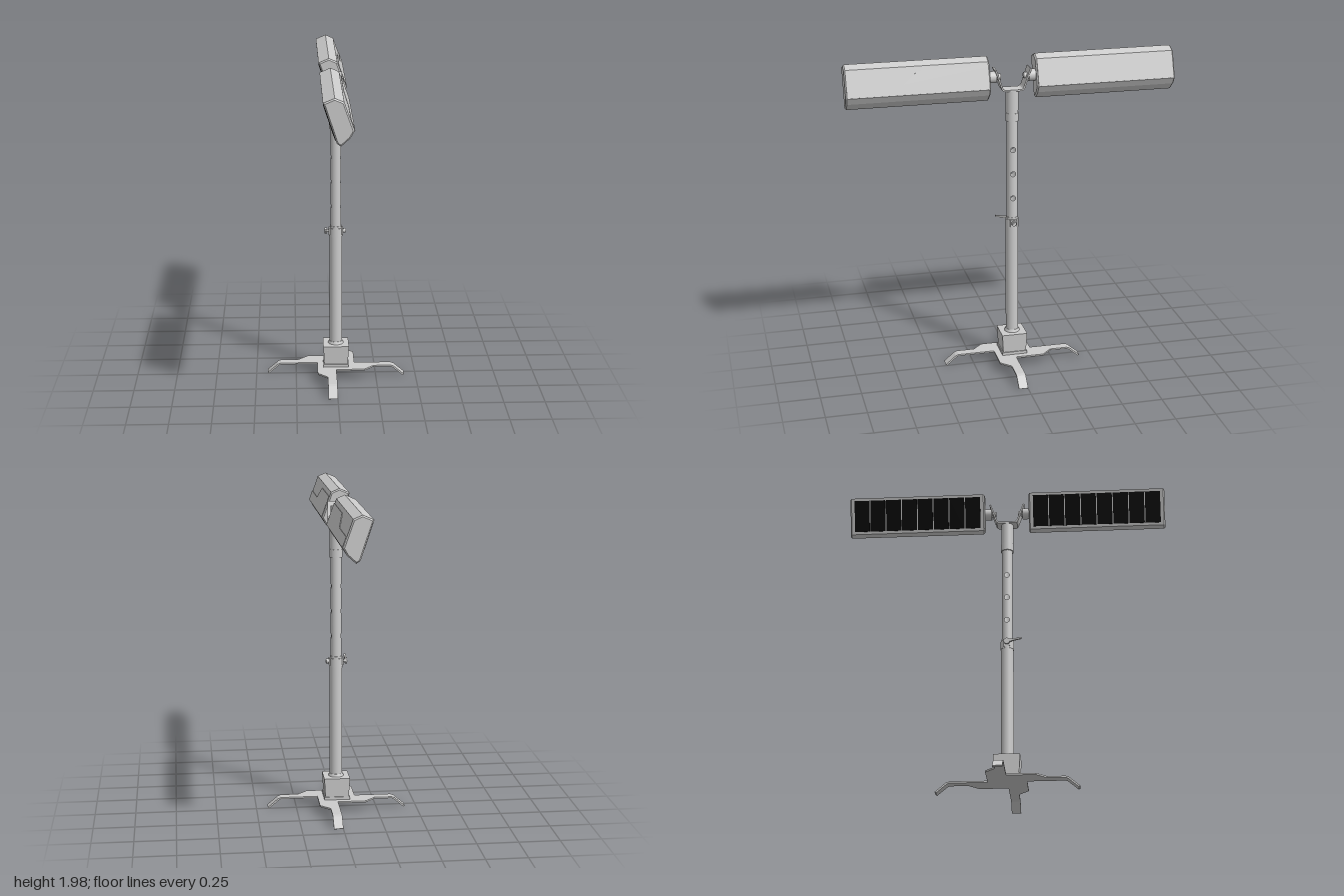
import * as THREE from 'three';
import { mergeGeometries } from 'three/addons/utils/BufferGeometryUtils.js';

const grey = new THREE.MeshStandardMaterial({ color: 0xcccccc });
const greyThin = new THREE.MeshStandardMaterial({ color: 0xcccccc, side: THREE.DoubleSide });
const black = new THREE.MeshStandardMaterial({ color: 0x080808 });

const shapeOf = (pts) => new THREE.Shape(pts.map(([x, y]) => new THREE.Vector2(x, y)));
const extrude = (pts, depth, opts = {}) =>
  new THREE.ExtrudeGeometry(shapeOf(pts), { depth, bevelEnabled: false, ...opts });

function add(parent, name, geometry, material = grey, x = 0, y = 0, z = 0) {
  const mesh = new THREE.Mesh(geometry, material);
  mesh.name = name;
  mesh.position.set(x, y, z);
  parent.add(mesh);
  return mesh;
}

// Upright cylinder between two heights
const post = (parent, name, r0, r1, y0, y1) =>
  add(parent, name, new THREE.CylinderGeometry(r1, r0, y1 - y0, 40), grey, 0, (y0 + y1) / 2, 0);

// Curved square patch of tube wall, facing +x, with a round hole in it
function holePatch(r, holeR, halfH, y) {
  const g = new THREE.PlaneGeometry(1, 1, 48, 4);
  const pos = g.attributes.position, nor = g.attributes.normal;
  for (let i = 0; i < pos.count; i++) {
    const t = (pos.getX(i) + 0.5) * Math.PI * 2, k = pos.getY(i) + 0.5;
    const c = Math.cos(t), s = Math.sin(t), m = Math.max(Math.abs(c), Math.abs(s));
    const a = THREE.MathUtils.lerp(Math.asin(holeR * c / r), Math.PI / 4 * c / m, k);
    const h = THREE.MathUtils.lerp(holeR * s, halfH * s / m, k);
    pos.setXYZ(i, r * Math.cos(a), y + h, -r * Math.sin(a));
    nor.setXYZ(i, Math.cos(a), 0, -Math.sin(a));
  }
  return g;
}

// Upper tube with three adjusting holes drilled through along x
function drilledTube(r, y0, y1) {
  const half = 0.0775, first = 1.1, parts = [];
  const wall = (a, b, start, length) => parts.push(
    new THREE.CylinderGeometry(r, r, b - a, 16, 1, true, start, length).translate(0, (a + b) / 2, 0));
  for (const turn of [0, Math.PI]) {
    const q = Math.PI / 2;
    wall(y0, y1, turn - q / 2, q);
    wall(y0, first - half, turn + q / 2, q);
    wall(first + half * 5, y1, turn + q / 2, q);
    for (let i = 0; i < 3; i++) {
      parts.push(holePatch(r, 0.016, half, first + i * half * 2).rotateY(turn));
    }
  }
  return mergeGeometries(parts);
}

// Flat leg: stepped plate that narrows, then bends down to the ground
function leg() {
  const plate = extrude([[0, 0], [0.345, 0], [0.345, -0.057], [0.235, -0.057], [0.175, -0.117], [0, -0.117]], 0.01)
    .rotateX(-Math.PI / 2).translate(0, 0.058, 0);
  const foot = extrude([[0.345, 0.058], [0.357, 0.053], [0.42, 0], [0.429, 0.006], [0.364, 0.061], [0.345, 0.068]], 0.057);
  return mergeGeometries([plate, foot]);
}

// Long lamp head lying along +z, solar cells on its -x face
function lampHead() {
  const head = new THREE.Group();
  const z0 = 0.14, z1 = 1.0, length = z1 - z0;
  const section = [[-0.1, 1.957], [-0.026, 1.735], [-0.003, 1.72], [0.047, 1.765],
    [0.07, 1.805], [0.014, 1.962], [-0.037, 1.984]];
  add(head, 'headCasing', extrude(section, length - 0.016, {
    bevelEnabled: true, bevelSize: 0.008, bevelThickness: 0.008, bevelOffset: -0.008, bevelSegments: 1,
  }), grey, 0, 0, z0 + 0.008);

  // Stepped cover, raised on the sloping outer face
  const cover = extrude([[-0.992, 0.002], [-0.148, 0.002], [-0.148, 0.138], [-0.57, 0.138], [-0.66, 0.064], [-0.992, 0.064]], 0.007);
  const up = new THREE.Vector3(-0.056, 0.157, 0).normalize();
  const back = new THREE.Vector3(0, 0, -1);
  const out = new THREE.Vector3().crossVectors(back, up);
  cover.applyMatrix4(new THREE.Matrix4().makeBasis(back, up, out).setPosition(0.067, 1.804, 0));
  add(head, 'raisedCover', cover);

  // Row of solar cells on the inner face
  const cells = new THREE.Group();
  cells.name = 'solarPanel';
  cells.position.set(-0.063, 1.846, 0);
  cells.rotation.z = Math.atan2(0.074, 0.222);
  const count = 8, pitch = (length - 0.05) / count;
  for (let i = 0; i < count; i++) {
    add(cells, 'solarCell', new THREE.BoxGeometry(0.008, 0.2, pitch - 0.006), black,
      0, 0, z0 + 0.025 + (i + 0.5) * pitch);
  }
  head.add(cells);

  // Swivel joint
  const pivot = (name, r, a, b) => add(head, name,
    new THREE.CylinderGeometry(r, r, b - a, 28).rotateX(Math.PI / 2), grey, 0, 1.862, (a + b) / 2);
  pivot('pivot', 0.035, 0.098, 0.15);
  pivot('pivotNut', 0.018, 0.07, 0.1);
  return head;
}

export function createModel() {
  const model = new THREE.Group();

  // Legs, a pinwheel of four
  for (let i = 0; i < 4; i++) add(model, 'leg', leg()).rotation.y = i * Math.PI / 2;

  // Base block, slightly narrower at the bottom
  add(model, 'basePlate', new THREE.BoxGeometry(0.158, 0.018, 0.158), grey, 0, 0.077, 0);
  const block = new THREE.CylinderGeometry(0.08 * Math.SQRT2, 0.073 * Math.SQRT2, 0.12, 4, 1)
    .rotateY(Math.PI / 4).toNonIndexed();
  block.computeVertexNormals();
  add(model, 'baseBlock', block, grey, 0, 0.145, 0);

  // Telescopic pole
  post(model, 'poleFoot', 0.05, 0.041, 0.2, 0.222);
  post(model, 'lowerPole', 0.039, 0.039, 0.2, 0.91);
  post(model, 'clampCollar', 0.041, 0.041, 0.908, 0.962);
  post(model, 'clampRim', 0.036, 0.036, 0.96, 0.975);
  add(model, 'upperPole', drilledTube(0.033, 0.95, 1.6), greyThin);
  post(model, 'topCollar', 0.04, 0.04, 1.588, 1.638);
  post(model, 'topSleeve', 0.038, 0.038, 1.638, 1.78);

  // Clamp bolt with its lever
  const bolt = (name, r, a, b) => add(model, name,
    new THREE.CylinderGeometry(r, r, b - a, 24).rotateZ(Math.PI / 2), grey, (a + b) / 2, 0.942, 0);
  bolt('clampBolt', 0.01, -0.066, 0.064);
  bolt('boltHead', 0.019, -0.068, -0.055);
  bolt('boltNut', 0.015, 0.046, 0.061);
  add(model, 'clampLug', new THREE.BoxGeometry(0.088, 0.045, 0.04), grey, 0, 0.94, 0);
  const lever = extrude([[0, 0.932], [0, 0.952], [-0.05, 0.957], [-0.09, 0.964], [-0.09, 0.955], [-0.045, 0.945]], 0.012)
    .rotateY(Math.PI / 2);
  add(model, 'clampLever', lever, grey, -0.068, 0, 0);

  // Folded bracket holding both heads
  const outer = [[0.05, 1.777], [0.064, 1.783], [0.072, 1.796], [0.111, 1.911]];
  const inner = [[0.102, 1.914], [0.063, 1.8], [0.057, 1.791], [0.047, 1.787]];
  const side = [...outer, ...inner];
  const profile = [...side, ...side.map(([z, y]) => [-z, y]).reverse()];
  add(model, 'headBracket', extrude(profile, 0.084).rotateY(-Math.PI / 2), grey, 0.042, 0, 0);

  // Pair of heads, mirrored front to back
  for (const s of [1, -1]) {
    const head = lampHead();
    head.name = s > 0 ? 'frontHead' : 'backHead';
    head.scale.z = s;
    model.add(head);
  }
  return model;
}
